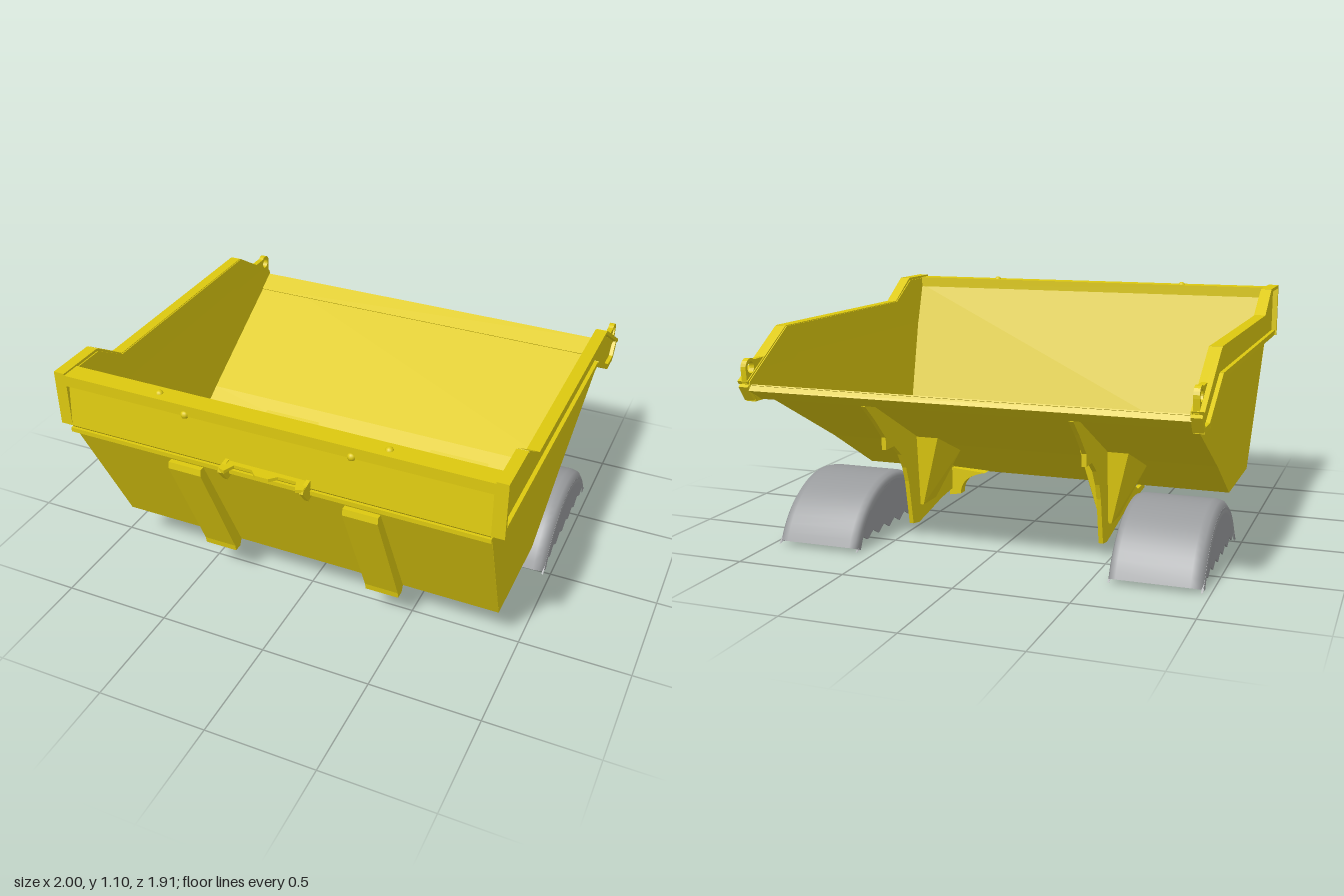
import * as THREE from 'three';
import { ConvexGeometry } from 'three/addons/geometries/ConvexGeometry.js';

const yellow = new THREE.MeshStandardMaterial({ color: 0xdcc80f, side: THREE.DoubleSide });
yellow.name = 'yellow paint';
const grey = new THREE.MeshStandardMaterial({ color: 0x999b9d, side: THREE.DoubleSide });
grey.name = 'grey plastic';

const halfWidth = (y) => 0.92 + (y - 0.2) * 0.04; // body widens upwards
const V = (x, y, z) => new THREE.Vector3(x, y, z);

export function createModel() {
  const root = new THREE.Group();
  const add = (name, geo, mat = yellow) => {
    const m = new THREE.Mesh(geo, mat);
    m.name = name;
    root.add(m);
    return m;
  };
  const zyShape = (pts) => new THREE.Shape(pts.map(([z, y]) => new THREE.Vector2(z, y)));

  // plate with a (z, y) outline, between x0 and x1
  const plate = (pts, x0, x1, hole) => {
    const s = zyShape(pts);
    if (hole) s.holes.push(new THREE.Path().absarc(hole[0], hole[1], hole[2], 0, Math.PI * 2, true));
    const g = new THREE.ExtrudeGeometry(s, { depth: x1 - x0, bevelEnabled: false });
    g.rotateY(-Math.PI / 2); // (z, y, depth) -> (-depth, y, z)
    return g.translate(x1, 0, 0);
  };

  // sheet across the body width, following a (z, y) profile with hard creases
  const sheet = (profile) => {
    const pos = [];
    for (let i = 0; i < profile.length - 1; i++) {
      const [z0, y0] = profile[i], [z1, y1] = profile[i + 1];
      const a = halfWidth(y0), b = halfWidth(y1);
      pos.push(-a, y0, z0, a, y0, z0, b, y1, z1, -a, y0, z0, b, y1, z1, -b, y1, z1);
    }
    const g = new THREE.BufferGeometry();
    g.setAttribute('position', new THREE.Float32BufferAttribute(pos, 3));
    g.computeVertexNormals();
    return g;
  };

  // box beam between two (z, y) points at a given x range
  const beam = (name, [z0, y0], [z1, y1], x, w, t) => {
    const m = add(name, new THREE.BoxGeometry(w, t, Math.hypot(z1 - z0, y1 - y0)));
    m.position.set(x, (y0 + y1) / 2, (z0 + z1) / 2);
    m.rotation.x = -Math.atan2(y1 - y0, z1 - z0);
  };

  // tub: floor, rear ramp and front wall
  const tail = [-0.94, 0.765], ramp = [-0.27, 0.41], heel = [0.09, 0.2], toe = [0.575, 0.2];
  add('floorAndRamp', sheet([tail, ramp, heel, toe]));
  add('frontWall', sheet([toe, [0.865, 0.82], [0.88, 0.84], [0.86, 1.05]]));
  add('frontWallLining', sheet([[0.53, 0.203], [0.795, 1.05]]));
  beam('frontRim', [0.79, 1.06], [0.88, 1.06], 0, 1.94, 0.05);
  beam('frontCrease', [0.855, 0.82], [0.885, 0.82], 0, 1.9, 0.02);
  beam('tailEdge', [-0.85, 0.705], [-0.94, 0.755], 0, 1.9, 0.03);
  beam('floorSeam', [0.515, 0.206], [0.545, 0.206], 0, 1.8, 0.012);

  // towing latch on the front
  const latch = new THREE.Shape();
  latch.moveTo(-0.19, 0.86).lineTo(0.19, 0.86).lineTo(0.19, 0.94).lineTo(0.16, 0.95).lineTo(0.14, 0.9);
  latch.lineTo(0.06, 0.9).lineTo(0.03, 0.93).lineTo(-0.03, 0.93).lineTo(-0.06, 0.9);
  latch.lineTo(-0.14, 0.9).lineTo(-0.16, 0.95).lineTo(-0.19, 0.94);
  const latchGeo = new THREE.ExtrudeGeometry(latch, { depth: 0.015, bevelEnabled: false });
  add('latchPlate', latchGeo.rotateX(Math.PI / 2).translate(0, 0.87, 0));

  const arch = { z: -0.355, y: -0.14, r: 0.417 };
  const half = Math.asin(0.385 / arch.r);

  for (const s of [1, -1]) {
    const side = s > 0 ? 'left' : 'right';
    const n = (part) => side + part;
    const mir = (x0, x1) => (s > 0 ? [x0, x1] : [-x1, -x0]);

    // side wall leaning outwards
    const wall = new THREE.ShapeGeometry(zyShape([toe, [0.87, 0.84], [0.87, 0.98], [-0.62, 0.98], tail, ramp, heel]));
    const p = wall.attributes.position;
    for (let i = 0; i < p.count; i++) p.setXYZ(i, s * halfWidth(p.getY(i)), p.getY(i), p.getX(i));
    wall.computeVertexNormals();
    add(n('SideWall'), wall);

    // side rim with raised front ear and dropped rear end
    add(n('Rim'), plate([[0.88, 0.84], [0.88, 1.08], [0.64, 1.08], [0.47, 0.98], [-0.63, 0.98], [-0.94, 0.78],
      [-0.94, 0.755], [-0.89, 0.695], [-0.8, 0.695], [-0.54, 0.85]], ...mir(0.945, 0.975)));
    const edge = [[0.88, 1.085], [0.64, 1.085], [0.47, 0.975], [-0.63, 0.975], [-0.945, 0.775]];
    for (let i = 0; i < edge.length - 1; i++) beam(n('RimTop'), edge[i], edge[i + 1], s * 0.975, 0.05, 0.016);
    const ledge = [[0.88, 0.852], [-0.54, 0.852], [-0.8, 0.7], [-0.9, 0.7], [-0.945, 0.765]];
    for (let i = 0; i < ledge.length - 1; i++) beam(n('RimLedge'), ledge[i], ledge[i + 1], s * 0.97, 0.045, 0.025);
    beam(n('RimFront'), [0.872, 0.84], [0.872, 1.085], s * 0.975, 0.05, 0.016);

    // lifting eye at the rear corner
    const eye = [[-0.78, 0.87], [-0.84, 0.78], [-0.945, 0.77]];
    for (let a = -10; a <= 130; a += 20) {
      const t = THREE.MathUtils.degToRad(a);
      eye.push([-0.912 - 0.04 * Math.cos(t), 0.837 + 0.04 * Math.sin(t)]);
    }
    add(n('LiftingEye'), plate(eye, ...mir(0.955, 0.98), [-0.912, 0.837, 0.025]));

    // front post with a tapered foot
    add(n('FrontPost'), plate([[0.575, 0.2], [0.59, 0.17], [0.63, 0.17], [0.635, 0.2], [0.87, 0.74], [0.865, 0.77],
      [0.835, 0.77]], ...mir(0.325, 0.48)));

    // small fittings on the front
    add(n('RimPin'), new THREE.SphereGeometry(0.018, 12, 8)).position.set(s * 0.37, 1.04, 0.875);
    add(n('TopPin'), new THREE.SphereGeometry(0.018, 12, 8)).position.set(s * 0.51, 1.08, 0.835);
    add(n('LatchCheek'), plate([[0.85, 0.8], [0.85, 0.88], [0.94, 0.865], [0.945, 0.85], [0.9, 0.79]], ...mir(0.175, 0.192)));

    // pivot bracket under the ramp
    add(n('PivotBracket'), plate([[0.31, 0.155], [0.31, 0.13], [0.05, 0.115], [-0.1, 0.1], [-0.3, 0.06], [-0.36, 0.05],
      [-0.42, 0.06], [-0.46, 0.27], [-0.485, 0.34], [-0.53, 0.41], [-0.6, 0.465], [-0.68, 0.465], [-0.68, 0.52],
      [-0.78, 0.62], [-0.86, 0.69], [-0.86, 0.72], ramp, heel, [0.18, 0.155]], ...mir(0.445, 0.465)));
    add(n('PivotFlare'), new ConvexGeometry([
      V(s * 0.3, 0.37, -0.2), V(s * 0.6, 0.37, -0.2), V(s * 0.34, 0.46, -0.37), V(s * 0.56, 0.46, -0.37),
      V(s * 0.43, 0.13, -0.2), V(s * 0.48, 0.13, -0.2), V(s * 0.43, 0.13, -0.34), V(s * 0.48, 0.13, -0.34)]));
    const gusset = new THREE.Shape();
    gusset.moveTo(s * 0.46, 0.22).lineTo(s * 0.27, 0.205).quadraticCurveTo(s * 0.4, 0.18, s * 0.4, 0.09).lineTo(s * 0.46, 0.08);
    add(n('PivotGusset'), new THREE.ExtrudeGeometry(gusset, { depth: 0.05, bevelEnabled: false })).position.z = 0.03;

    // mudguard: rounded cross-section swept round the wheel arch
    const section = [[0.575, -0.05], [0.575, -0.025], [0.585, -0.007], [0.61, 0], [0.92, 0], [0.95, -0.007], [0.968, -0.03], [0.97, -0.06]];
    const steps = 24, pos = [], idx = [], w = section.length;
    for (let i = 0; i <= steps; i++) {
      const a = -half + (2 * half * i) / steps;
      for (const [x, d] of section)
        pos.push(s * x, arch.y + (arch.r + d) * Math.cos(a), arch.z + (arch.r + d) * Math.sin(a));
      if (i < steps) for (let j = 0; j < w - 1; j++) {
        const k = i * w + j;
        if (s > 0) idx.push(k, k + w, k + 1, k + 1, k + w, k + w + 1);
        else idx.push(k, k + 1, k + w, k + 1, k + w + 1, k + w);
      }
    }
    const guard = new THREE.BufferGeometry();
    guard.setAttribute('position', new THREE.Float32BufferAttribute(pos, 3));
    guard.setIndex(idx);
    guard.computeVertexNormals();
    add(n('Mudguard'), guard, grey);

    // torn-edged skirts on both sides of the mudguard
    const skirt = [];
    for (let i = 0; i <= 20; i++) {
      const a = -half + (2 * half * i) / 20;
      skirt.push([arch.z + (arch.r - 0.035) * Math.sin(a), arch.y + (arch.r - 0.035) * Math.cos(a)]);
    }
    for (let i = 0; i <= 14; i++)
      skirt.push([arch.z + 0.375 - (0.75 * i) / 14, i === 0 || i === 14 ? 0 : i % 2 ? 0.06 : 0.03]);
    add(n('OuterSkirt'), plate(skirt, ...mir(0.962, 0.969)), grey);
    add(n('InnerSkirt'), plate(skirt, ...mir(0.575, 0.582)), grey);
  }
  return root;
}
